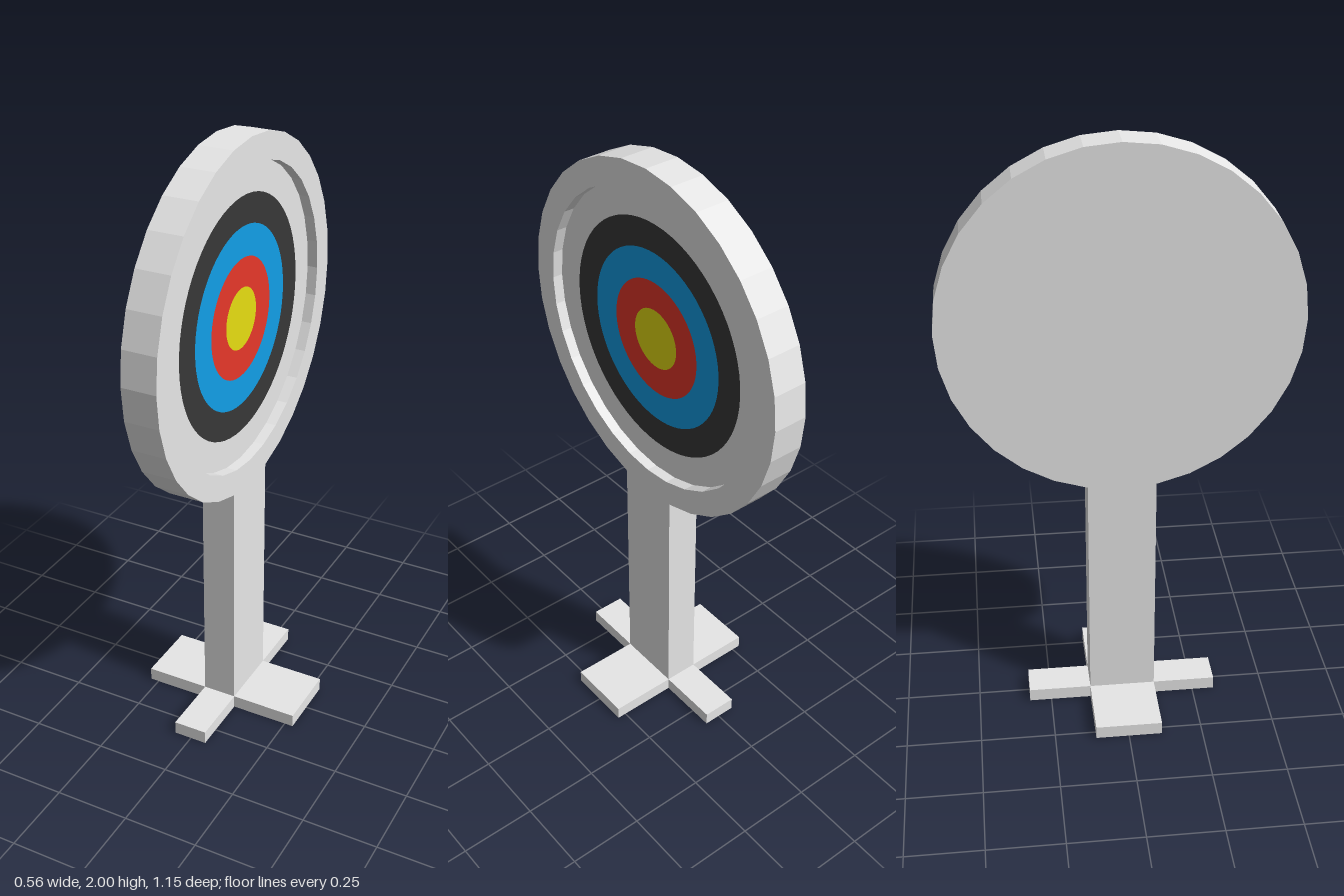
import * as THREE from 'three';

const BACK = -0.06, FRONT = 0.055, RECESS = 0.035;
const RADIUS = 0.575, INNER = 0.49, CENTER_Y = 1.425;
const POST_HALF = RADIUS * Math.sin(Math.PI / 16), BASE_H = 0.045;

const material = (name, color) => {
  const m = new THREE.MeshStandardMaterial({ color });
  m.name = name;
  return m;
};

export function createModel() {
  const group = new THREE.Group();
  const white = material('white board', 0xf8f8f8);

  const add = (name, geometry, mat) => {
    const mesh = new THREE.Mesh(geometry, mat);
    mesh.name = name;
    group.add(mesh);
    return mesh;
  };

  // Points around a circle, starting at the lowest point
  const ring = (r, n) => Array.from({ length: n }, (_, i) => {
    const a = -Math.PI / 2 + (i / n) * Math.PI * 2;
    return new THREE.Vector2(r * Math.cos(a), CENTER_Y + r * Math.sin(a));
  });

  // Post and rim: one outline, its lowest circle point replaced by the post foot
  const outline = new THREE.Shape([
    new THREE.Vector2(-POST_HALF, BASE_H),
    new THREE.Vector2(POST_HALF, BASE_H),
    ...ring(RADIUS, 32).slice(1),
  ]);
  outline.holes.push(new THREE.Path(ring(INNER, 32).reverse()));
  const frame = new THREE.ExtrudeGeometry(outline, { depth: FRONT - BACK, bevelEnabled: false });
  frame.rotateY(Math.PI / 2).translate(BACK, 0, 0);
  add('postAndRim', frame, white);

  // Sunken board filling the rim
  const boardX = FRONT - RECESS;
  const board = new THREE.ExtrudeGeometry(new THREE.Shape(ring(INNER, 32)), {
    depth: boardX - BACK, bevelEnabled: false,
  });
  board.rotateY(Math.PI / 2).translate(BACK, 0, 0);
  add('board', board, white);

  // Painted rings, each a flat annulus just proud of the board
  const rings = [
    ['blackRing', 0.295, 0.39, 0x383838],
    ['blueRing', 0.195, 0.295, 0x13a4ee],
    ['redRing', 0.1, 0.195, 0xeb392b],
    ['yellowCentre', 0, 0.1, 0xfcf214],
  ];
  for (const [name, inner, outer, color] of rings) {
    const geometry = inner
      ? new THREE.RingGeometry(inner, outer, 64)
      : new THREE.CircleGeometry(outer, 64);
    geometry.rotateY(Math.PI / 2).translate(boardX + 0.002, CENTER_Y, 0);
    add(name, geometry, material(name, color));
  }

  // Cross-shaped foot
  const ax = 0.28, az = 0.325, w = POST_HALF;
  const cross = new THREE.Shape([
    [BACK, -az], [FRONT, -az], [FRONT, -w], [ax, -w], [ax, w], [FRONT, w],
    [FRONT, az], [BACK, az], [BACK, w], [-ax, w], [-ax, -w], [BACK, -w],
  ].map(([x, z]) => new THREE.Vector2(x, z)));
  const foot = new THREE.ExtrudeGeometry(cross, { depth: BASE_H, bevelEnabled: false });
  foot.rotateX(-Math.PI / 2);
  add('crossFoot', foot, white);

  return group;
}
